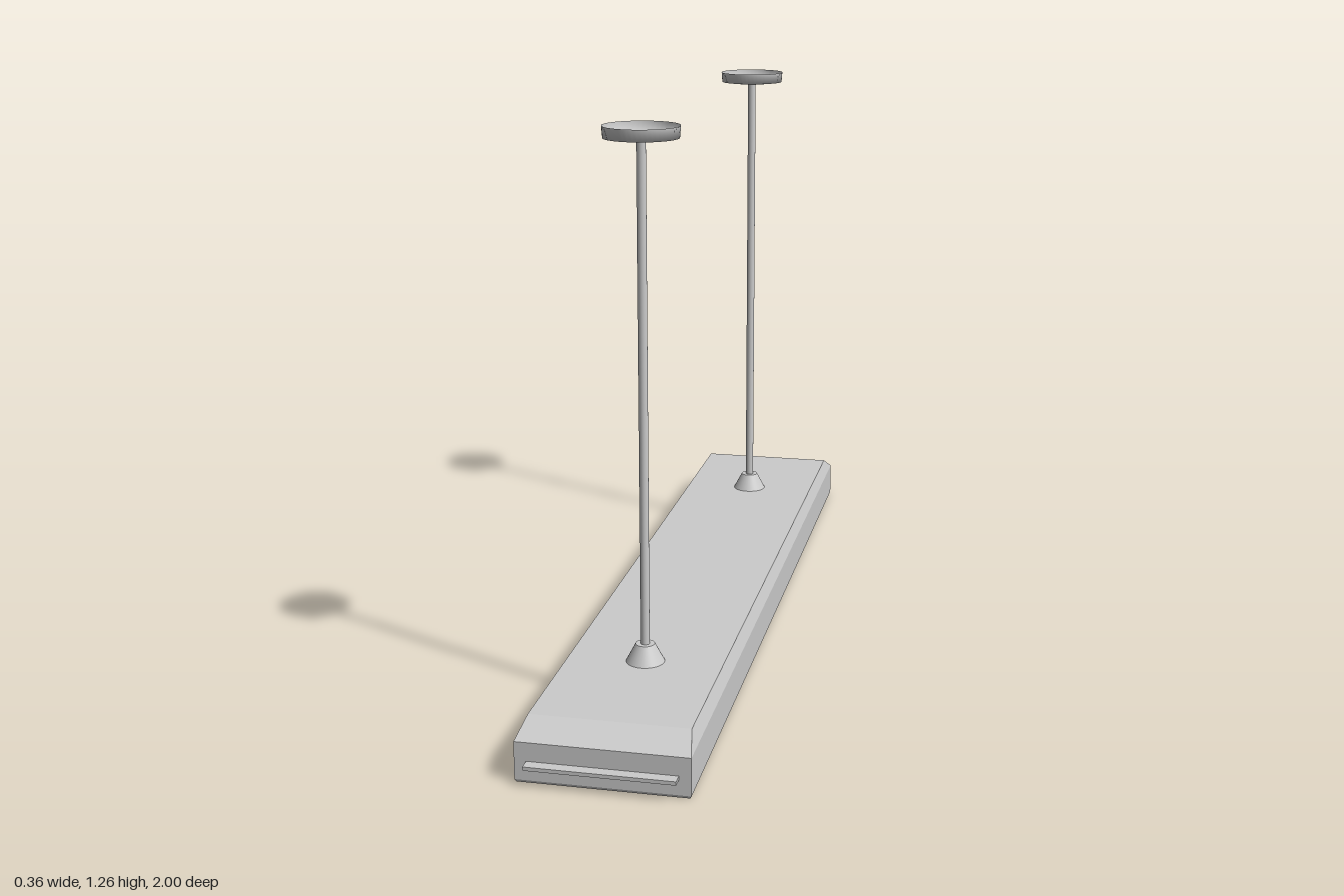
import * as THREE from 'three';

const grey = new THREE.MeshStandardMaterial({ color: 0xcccccc, side: THREE.DoubleSide });
const flatGrey = new THREE.MeshStandardMaterial({ color: 0xcccccc, flatShading: true });

function addMesh(parent, name, geometry, material, x = 0, y = 0, z = 0) {
  const mesh = new THREE.Mesh(geometry, material);
  mesh.name = name;
  mesh.position.set(x, y, z);
  parent.add(mesh);
  return mesh;
}

// Skin a stack of rectangles [halfX, halfZ, y], running from the top, down the outside and up the recess
function rectangleLoft(rings) {
  const corners = [[1, 1], [1, -1], [-1, -1], [-1, 1]];
  const point = ([hx, hz, y], c) => [corners[c % 4][0] * hx, y, corners[c % 4][1] * hz];
  const positions = [];
  for (let i = 0; i < rings.length - 1; i++) {
    for (let c = 0; c < 4; c++) {
      const a = point(rings[i], c), b = point(rings[i + 1], c);
      const d = point(rings[i + 1], c + 1), e = point(rings[i], c + 1);
      if (rings[i][0] > 0) positions.push(...a, ...d, ...e);
      if (rings[i + 1][0] > 0) positions.push(...a, ...b, ...d);
    }
  }
  const geometry = new THREE.BufferGeometry();
  geometry.setAttribute('position', new THREE.Float32BufferAttribute(positions, 3));
  geometry.computeVertexNormals();
  return geometry;
}

export function createModel() {
  const model = new THREE.Group();
  model.name = 'hangingLight';

  // Long housing with chamfered shoulders and a recess open underneath
  addMesh(model, 'housing', rectangleLoft([
    [0, 0, 0.12],
    [0.168, 0.915, 0.12],
    [0.18, 0.975, 0.087],
    [0.18, 0.975, 0.006],
    [0.177, 0.972, 0],
    [0.17, 0.875, 0],
    [0.17, 0.875, 0.073],
    [0, 0, 0.073],
  ]), flatGrey);

  // Thin ledge on each end
  for (const side of [1, -1]) {
    addMesh(model, side > 0 ? 'frontLedge' : 'backLedge',
      new THREE.BoxGeometry(0.31, 0.008, 0.03), flatGrey, 0, 0.043, side * 0.985);
  }

  // Two hangers: socket, rod and dished ceiling canopy
  const canopyProfile = [[0.008, 1.232], [0.078, 1.24], [0.08, 1.265]]
    .map(([r, y]) => new THREE.Vector2(r, y));
  for (const [name, z] of [['frontHanger', 0.608], ['backHanger', -0.625]]) {
    const hanger = new THREE.Group();
    hanger.name = name;
    hanger.position.z = z;
    addMesh(hanger, 'socket', new THREE.CylinderGeometry(0.021, 0.043, 0.042, 32), grey, 0, 0.139, 0);
    addMesh(hanger, 'rod', new THREE.CylinderGeometry(0.01, 0.01, 1.084, 24), grey, 0, 0.692, 0);
    addMesh(hanger, 'canopy', new THREE.LatheGeometry(canopyProfile, 48), grey);
    model.add(hanger);
  }
  return model;
}
